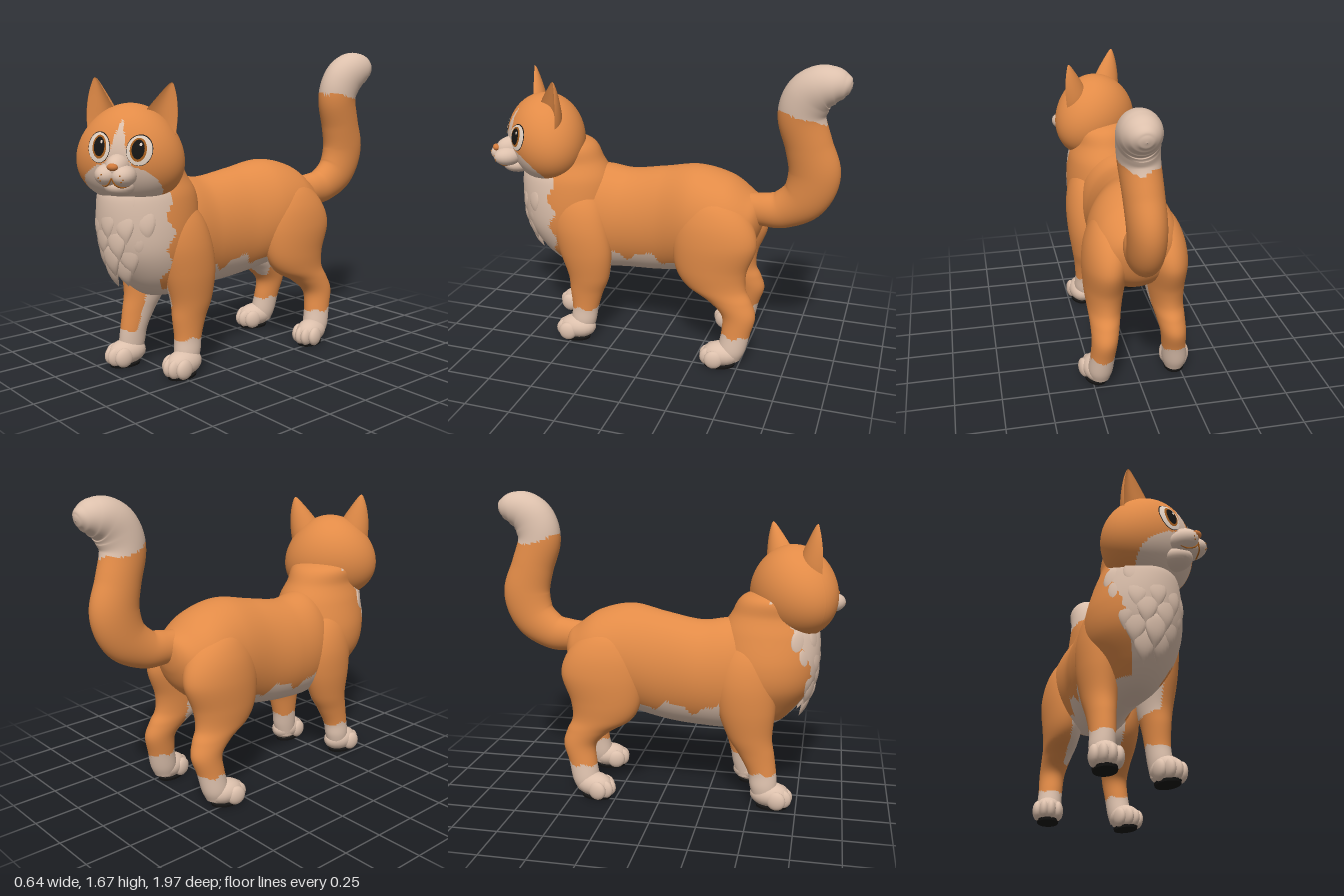
import * as THREE from 'three';

const mat = (name, hex) => {
  const m = new THREE.MeshStandardMaterial({ color: hex });
  m.name = name;
  return m;
};
const V = (x, y, z) => new THREE.Vector3(x, y, z);

// Smooth closed skin through sections [x, y, z, radiusX, radiusB].
// axis 'y': horizontal rings listed top down; 'z': upright rings listed back to front;
// 'path': rings follow the curve.
function loft(sections, axis, n, rows, shape = (a) => [Math.cos(a), Math.sin(a)]) {
  const centre = new THREE.CatmullRomCurve3(sections.map((s) => V(s[0], s[1], s[2])), false, 'catmullrom', 0.5);
  const radius = new THREE.CatmullRomCurve3(sections.map((s) => V(s[3], s[4], 0)), false, 'catmullrom', 0.5);
  const pos = [], idx = [], X = V(1, 0, 0);
  for (let i = 0; i <= rows; i++) {
    const t = i / rows, c = centre.getPoint(t), r = radius.getPoint(t);
    const B = axis === 'y' ? V(0, 0, 1) : axis === 'z' ? V(0, 1, 0) : centre.getTangent(t).cross(X).normalize();
    for (let j = 0; j < n; j++) {
      const [u, v] = shape((j / n) * Math.PI * 2);
      const p = c.clone().addScaledVector(X, Math.max(r.x, 0.0005) * u).addScaledVector(B, Math.max(r.y, 0.0005) * v);
      pos.push(p.x, p.y, p.z);
      if (i < rows) {
        const a = i * n + j, b = i * n + ((j + 1) % n);
        idx.push(a, b, a + n, b, b + n, a + n);
      }
    }
  }
  const g = new THREE.BufferGeometry();
  g.setAttribute('position', new THREE.Float32BufferAttribute(pos, 3));
  g.setIndex(idx);
  g.computeVertexNormals();
  return g;
}

// Splits the faces into two colour groups; isSecond(x, y, z) tests each face centre.
function paint(g, isSecond) {
  const p = g.attributes.position, src = g.index.array, sets = [[], []];
  for (let i = 0; i < src.length; i += 3) {
    const f = [src[i], src[i + 1], src[i + 2]];
    const mid = (k) => (p.getComponent(f[0], k) + p.getComponent(f[1], k) + p.getComponent(f[2], k)) / 3;
    sets[isSecond(mid(0), mid(1), mid(2)) ? 1 : 0].push(...f);
  }
  g.setIndex([...sets[0], ...sets[1]]);
  g.clearGroups();
  g.addGroup(0, sets[0].length, 0);
  g.addGroup(sets[0].length, sets[1].length, 1);
  return g;
}

export function createModel() {
  const orange = mat('orange fur', 0xe28b47), cream = mat('cream fur', 0xdcc0ac);
  const black = mat('black', 0x161514), white = mat('eye white', 0xe4d3c4);
  const brown = mat('iris brown', 0xa8601f), noseOrange = mat('nose orange', 0xd07a3c);
  const fur = [orange, cream];
  const cat = new THREE.Group();
  cat.name = 'cat';
  const add = (parent, name, g, m, x = 0, y = 0, z = 0) => {
    const o = new THREE.Mesh(g, m);
    o.name = name;
    o.position.set(x, y, z);
    parent.add(o);
    return o;
  };
  const sphere = new THREE.SphereGeometry(1, 22, 14);
  const ball = (parent, name, m, x, y, z, sx, sy, sz) => add(parent, name, sphere, m, x, y, z).scale.set(sx, sy, sz);

  // Torso with a pale belly
  const torso = loft([
    [0, 0.83, -0.575, 0, 0], [0, 0.82, -0.555, 0.1, 0.09], [0, 0.79, -0.5, 0.18, 0.165],
    [0, 0.785, -0.38, 0.235, 0.25], [0, 0.775, -0.2, 0.238, 0.3], [-0.025, 0.735, 0, 0.205, 0.305],
    [-0.04, 0.71, 0.2, 0.205, 0.297], [-0.03, 0.715, 0.38, 0.205, 0.305], [-0.02, 0.7, 0.52, 0.15, 0.22], [-0.02, 0.7, 0.6, 0, 0],
  ], 'z', 80, 120);
  add(cat, 'torso', paint(torso, (x, y, z) => z > -0.33 && y < 0.55 + 0.028 * Math.sin(z * 26) + 0.012 * Math.sin(z * 61)), fur);

  // Chest and neck with a pale bib
  const chest = loft([
    [0, 1.2, 0.61, 0, 0], [0, 1.15, 0.605, 0.16, 0.18], [0, 1.05, 0.58, 0.18, 0.222], [0, 0.95, 0.57, 0.215, 0.268],
    [-0.01, 0.8, 0.56, 0.24, 0.28], [-0.01, 0.67, 0.55, 0.23, 0.262], [0, 0.55, 0.52, 0.18, 0.215],
    [0, 0.46, 0.49, 0.12, 0.16], [0, 0.42, 0.47, 0.06, 0.1], [0, 0.415, 0.46, 0, 0],
  ], 'y', 80, 90);
  add(cat, 'chest', paint(chest, (x, y, z) => y < 0.47 ||
    (z > 0.585 + 0.02 * Math.sin(y * 38) && x > -0.17 + Math.max(0, 0.9 - y) * 0.28)), fur);

  // Layered fur tufts over the bib
  const tuft = loft([[0, 0.09, -0.012, 0, 0], [0, 0.055, -0.004, 0.042, 0.01], [0, 0, 0, 0.052, 0.016],
    [0, -0.05, 0.002, 0.033, 0.013], [0, -0.1, 0, 0, 0]], 'y', 16, 12);
  [[0.92, 0.21, 0.262, 5, 1.0, -0.03], [0.83, 0.222, 0.27, 5, 0.85, 0], [0.74, 0.21, 0.266, 4, 0.7, 0.12],
    [0.65, 0.19, 0.25, 3, 0.5, 0.26], [0.58, 0.17, 0.22, 2, 0.25, 0.38]].forEach(([y, rx, rz, n, spread, tilt], row) => {
    for (let i = 0; i < n; i++) {
      const a = 0.14 + spread * ((2 * i) / (n - 1) - 1);
      const o = add(cat, 'chestTuft', tuft, cream, -0.005 + rx * Math.sin(a), y + 0.014 * ((i + row) % 2), 0.56 + rz * Math.cos(a));
      o.rotation.set(tilt, a, 0.15 * Math.sin(a), 'YXZ');
    }
  });

  // Paw with four toes and a dark sole
  const paw = (name, x, z, turn) => {
    const g = new THREE.Group();
    g.name = name;
    g.position.set(x, 0, z);
    g.rotation.y = turn;
    cat.add(g);
    ball(g, 'pawBody', cream, 0, 0.074, -0.005, 0.074, 0.068, 0.108);
    for (let i = 0; i < 4; i++) {
      const u = i - 1.5;
      ball(g, 'toe', cream, u * 0.037, 0.059, 0.07 - 0.013 * u * u, 0.028, 0.053, 0.052);
    }
    add(g, 'sole', new THREE.CylinderGeometry(1, 0.95, 0.014, 32), black, 0, 0.007, 0.008).scale.set(0.06, 1, 0.088);
  };

  for (const s of [1, -1]) {
    const side = s > 0 ? 'left' : 'right';
    // Foreleg, the right one stepping forward
    const step = (y) => (s < 0 ? 0.13 * THREE.MathUtils.clamp((0.75 - y) / 0.55, 0, 1) : 0);
    const fore = [[0.08, 0.97, 0.5, 0, 0], [0.095, 0.93, 0.5, 0.07, 0.1], [0.13, 0.83, 0.475, 0.1, 0.15],
      [0.155, 0.7, 0.45, 0.106, 0.165], [0.16, 0.55, 0.42, 0.1, 0.155], [0.155, 0.4, 0.405, 0.085, 0.122],
      [0.155, 0.3, 0.42, 0.07, 0.098], [0.157, 0.2, 0.43, 0.062, 0.078], [0.163, 0.12, 0.44, 0.061, 0.074], [0.163, 0.04, 0.45, 0.05, 0.06]]
      .map(([x, y, z, a, b]) => [s * x - 0.01, y, z + step(y), a, b]);
    add(cat, side + 'Foreleg', paint(loft(fore, 'y', 44, 80), (x, y, z) => y < 0.2 + 0.01 * Math.sin(z * 60) ||
      (s * x < 0.14 && y < 0.55 && (s > 0 ? y > 0.35 + 0.3 * (x - 0.06) : z < 0.445 + step(y)))), fur);
    paw(side + 'ForePaw', s * 0.17, 0.48 + step(0.1), s * 0.1);

    // Hind leg with rounded thigh and hock
    const back = (y) => (s < 0 ? 0.035 * THREE.MathUtils.clamp((0.6 - y) / 0.4, 0, 1) : 0);
    const hind = [[0.1, 0.97, -0.31, 0, 0], [0.11, 0.93, -0.31, 0.09, 0.12], [0.14, 0.83, -0.328, 0.118, 0.2],
      [0.16, 0.7, -0.337, 0.121, 0.232], [0.167, 0.55, -0.322, 0.108, 0.2], [0.172, 0.45, -0.352, 0.093, 0.168],
      [0.18, 0.38, -0.43, 0.08, 0.125], [0.19, 0.3, -0.488, 0.07, 0.094], [0.2, 0.2, -0.48, 0.066, 0.08],
      [0.21, 0.1, -0.46, 0.066, 0.077], [0.212, 0.04, -0.45, 0.052, 0.06]]
      .map(([x, y, z, a, b]) => [s * x, y, z + back(y), a, b]);
    add(cat, side + 'HindLeg', paint(loft(hind, 'y', 44, 80), (x, y, z) => y < 0.19 + 0.008 * Math.sin(z * 70) ||
      (s * x < 0.15 && z > -0.38 && y < 0.6 && y > 0.34)), fur);
    paw(side + 'HindPaw', s * 0.226, -0.405 + back(0.1), s * 0.22);
  }

  // Raised tail with a pale tip
  const tail = loft([[0.02, 0.87, -0.46, 0.07, 0.08], [0.03, 0.87, -0.58, 0.08, 0.092], [0.035, 0.885, -0.68, 0.083, 0.104],
    [0.045, 0.965, -0.79, 0.09, 0.125], [0.052, 1.1, -0.835, 0.095, 0.135], [0.062, 1.25, -0.8, 0.097, 0.122],
    [0.075, 1.4, -0.757, 0.1, 0.122], [0.085, 1.5, -0.782, 0.103, 0.124], [0.092, 1.558, -0.84, 0.104, 0.114],
    [0.095, 1.577, -0.91, 0.094, 0.095], [0.095, 1.575, -0.965, 0.066, 0.064], [0.095, 1.57, -0.99, 0.034, 0.034],
    [0.095, 1.568, -0.998, 0, 0]], 'path', 44, 100);
  add(cat, 'tail', paint(tail, (x, y, z) => y > 1.41 + 0.24 * (z + 0.755) + 0.01 * Math.sin(x * 50)), fur);

  // Broad head, turned to its left
  const head = new THREE.Group();
  head.name = 'head';
  head.position.set(0.03, 1.172, 0.685);
  head.rotation.set(0, 0.69, -0.06, 'YXZ');
  cat.add(head);
  const RX = 0.27, RY = 0.25, RZ = 0.215, cheek = (y) => 1 - (0.15 * y) / RY;
  const face = (x, y) => RZ * Math.sqrt(Math.max(0, 1 - (x / (RX * cheek(y))) ** 2 - (y / RY) ** 2));
  const skull = new THREE.SphereGeometry(1, 104, 76);
  const sp = skull.attributes.position;
  for (let i = 0; i < sp.count; i++) {
    const y = sp.getY(i) * RY;
    sp.setXYZ(i, sp.getX(i) * RX * cheek(y), y, sp.getZ(i) * RZ);
  }
  skull.computeVertexNormals();
  add(head, 'skull', paint(skull, (x, y, z) => y < -0.04 - 1.05 * (0.2 - z) ||
    (z > 0 && Math.abs(x) < 0.28 * (0.19 - y))), fur);

  // Muzzle, chin, nose and mouth
  const PX = 0.04, PY = -0.08, PZ = 0.235, pad = [0.06, 0.052, 0.078];
  for (const s of [1, -1]) {
    ball(head, 'muzzlePad', cream, s * PX, PY, PZ, ...pad);
    for (const [u, v] of [[0.045, -0.07], [0.06, -0.088], [0.05, -0.1]]) {
      const w = Math.sqrt(1 - ((u - PX) / pad[0]) ** 2 - ((v - PY) / pad[1]) ** 2);
      ball(head, 'whiskerSpot', brown, s * u, v, PZ + pad[2] * w, 0.004, 0.004, 0.003);
    }
    const smile = new THREE.CatmullRomCurve3([V(0, -0.085, 0.294), V(s * 0.018, -0.118, 0.288), V(s * 0.045, -0.131, 0.26), V(s * 0.07, -0.122, 0.238)]);
    add(head, 'mouth', new THREE.TubeGeometry(smile, 16, 0.004, 6), brown);
  }
  ball(head, 'muzzleBridge', cream, 0, -0.05, 0.2, 0.062, 0.07, 0.092);
  ball(head, 'chin', cream, 0, -0.14, 0.165, 0.075, 0.05, 0.09);
  ball(head, 'nose', noseOrange, 0, -0.035, 0.288, 0.027, 0.018, 0.02);

  // Eyes, as thin layers that follow the face
  const patch = (name, m, x, y, rx, ry, lift) => {
    const g = new THREE.RingGeometry(0, 1, 36, 5), p = g.attributes.position;
    for (let i = 0; i < p.count; i++) {
      const px = x + p.getX(i) * rx, py = y + p.getY(i) * ry;
      p.setXYZ(i, px, py, face(px, py) + lift);
    }
    g.computeVertexNormals();
    add(head, name, g, m);
  };
  for (const s of [1, -1]) {
    const x = s * 0.1, y = 0.042, ix = s * 0.096;
    patch('eyeRim', black, x, y, 0.06, 0.074, 0.003);
    patch('eyeWhite', white, x, y - 0.001, 0.058, 0.071, 0.005);
    patch('iris', brown, ix, y + 0.003, 0.038, 0.056, 0.007);
    patch('pupil', black, ix, y + 0.005, 0.029, 0.046, 0.009);
    patch('eyeGlint', white, ix + 0.011, y + 0.029, 0.006, 0.008, 0.011);

    // Cupped ear
    const ear = loft([[0.062, 0.212, -0.01, 0, 0], [0.058, 0.198, -0.009, 0.015, 0.014], [0.042, 0.14, -0.004, 0.047, 0.042],
      [0.02, 0.07, 0, 0.077, 0.068], [0, 0, 0, 0.096, 0.085], [-0.005, -0.06, 0, 0.095, 0.085]]
      .map(([a, ...r]) => [s * a, ...r]), 'y', 36, 30,
      (a) => [Math.cos(a), Math.sin(a) < 0 ? Math.sin(a) : -0.4 * Math.sin(a) + 0.25 * Math.sin(a) * Math.cos(a) ** 2]);
    add(head, (s > 0 ? 'left' : 'right') + 'Ear', ear, orange, s * 0.138, 0.152, 0.035).rotation.y = s * 0.25;
  }
  return cat;
}
